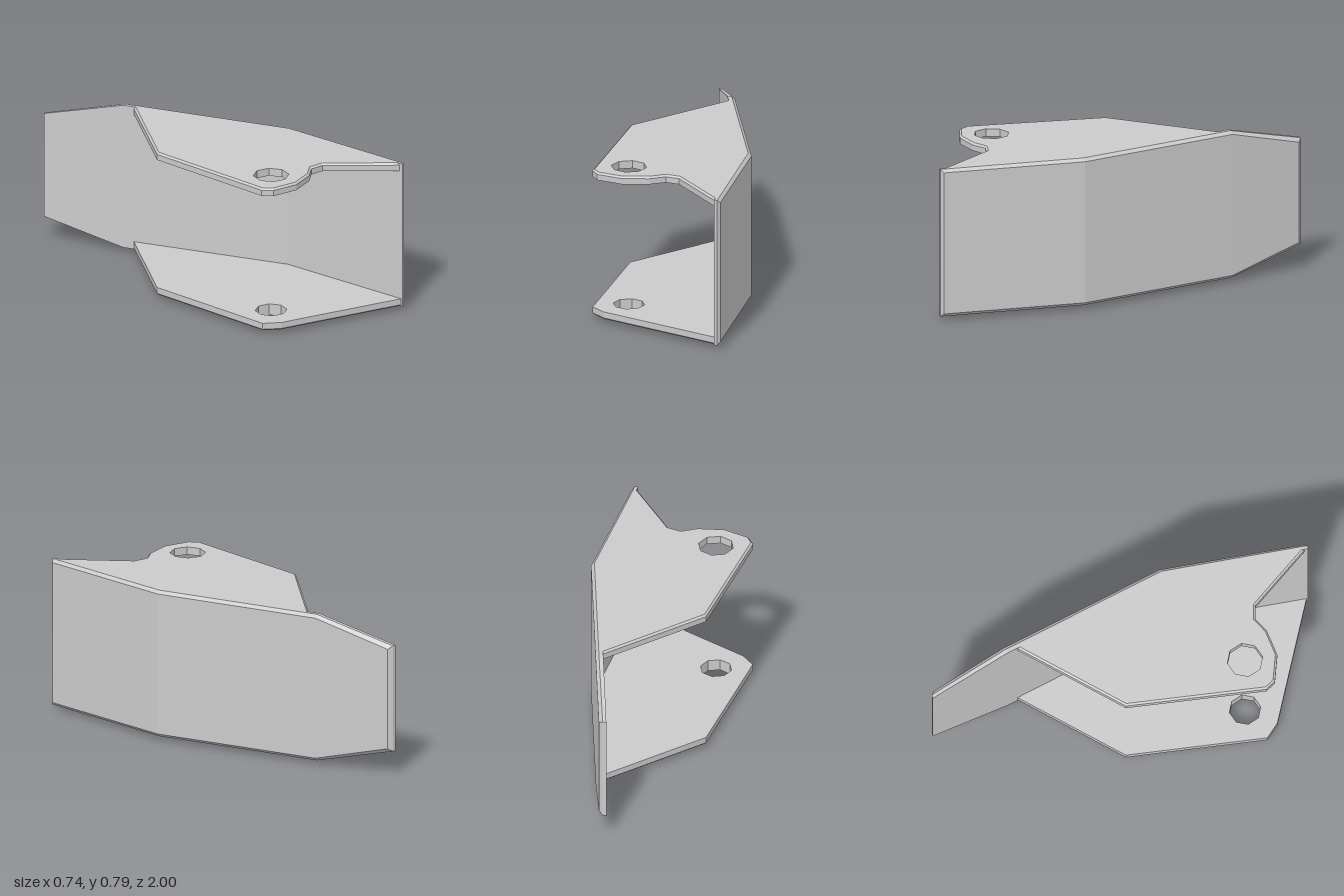
import * as THREE from 'three';

const material = () => new THREE.MeshStandardMaterial({ color: 0xcccccc, flatShading: true });
const HOLE = [-0.197, 0.57];

// Collects triangles; flip reverses the winding for upside-down parts
function builder(flip = false) {
  const pos = [];
  const tri = (a, b, c) => pos.push(...a, ...(flip ? c : b), ...(flip ? b : c));
  const quad = (a, b, c, d) => { tri(a, b, c); tri(a, c, d); };
  const mesh = (name) => {
    const g = new THREE.BufferGeometry();
    g.setAttribute('position', new THREE.Float32BufferAttribute(pos, 3));
    g.computeVertexNormals();
    const m = new THREE.Mesh(g, material());
    m.name = name;
    return m;
  };
  return { tri, quad, mesh };
}

// Moves every edge of a plan outline inwards by d
function inset(pts, d) {
  const n = pts.length;
  const normal = (a, b) => {
    const l = Math.hypot(b[0] - a[0], b[1] - a[1]);
    return [-(b[1] - a[1]) / l, (b[0] - a[0]) / l];
  };
  return pts.map((p, i) => {
    const u = normal(pts[(i + n - 1) % n], p), v = normal(p, pts[(i + 1) % n]);
    const k = d / (1 + u[0] * v[0] + u[1] * v[1]);
    return [p[0] + (u[0] + v[0]) * k, p[1] + (u[1] + v[1]) * k];
  });
}

// Flat plate with a hole and one bevelled face: yIn, yBevel, yOut
function plate(name, outline, [yIn, yBevel, yOut], bevel, holeRadius) {
  const b = builder(yOut < yIn);
  const at = (p, y) => [p[0], y, p[1]];
  const hole = Array.from({ length: 8 }, (_, i) => [
    HOLE[0] + holeRadius * Math.cos(i * Math.PI / 4),
    HOLE[1] + holeRadius * Math.sin(i * Math.PI / 4)]);
  const small = inset(outline, bevel);
  const band = (lo, hi, y0, y1) => lo.forEach((p, i) => {
    const j = (i + 1) % lo.length;
    b.quad(at(p, y0), at(hi[i], y1), at(hi[j], y1), at(lo[j], y0));
  });
  const cap = (pts, y, outer) => {
    const all = [...pts, ...hole];
    const vec = (list) => list.map((p) => new THREE.Vector2(...p));
    for (const f of THREE.ShapeUtils.triangulateShape(vec(pts), [vec(hole)])) {
      const [p, q, r] = f.map((i) => all[i]);
      const ccw = (q[0] - p[0]) * (r[1] - p[1]) - (q[1] - p[1]) * (r[0] - p[0]) > 0;
      if (ccw === outer) b.tri(at(p, y), at(r, y), at(q, y));
      else b.tri(at(p, y), at(q, y), at(r, y));
    }
  };
  band(outline, outline, yIn, yBevel);
  band(outline, small, yBevel, yOut);
  const rim = [...hole].reverse();
  band(rim, rim, yIn, yOut);
  cap(outline, yIn, false);
  cap(small, yOut, true);
  return b.mesh(name);
}

// Bent side wall: inner, bevel-start and outer plan points, with bottom and top heights
function wall() {
  const b = builder();
  const stations = [
    [[0.322, 1], [0.338, 1], [0.352, 0.985], 0.02, 0.79],
    [[0.335, 0.26], [0.351, 0.255], [0.367, 0.25], 0.02, 0.79],
    [[0.079, -0.59], [0.1, -0.595], [0.116, -0.6], 0.02, 0.79],
    [[-0.045, -1], [-0.026, -1], [-0.002, -0.985], 0.127, 0.683],
  ];
  const rings = stations.map(([i, m, o, lo, hi]) => [
    [i[0], lo, i[1]], [i[0], hi, i[1]], [m[0], hi, m[1]],
    [o[0], hi - 0.016, o[1]], [o[0], lo + 0.016, o[1]], [m[0], lo, m[1]]]);
  for (let s = 0; s < 3; s++) {
    for (let j = 0; j < 6; j++) {
      const k = (j + 1) % 6;
      b.quad(rings[s][j], rings[s][k], rings[s + 1][k], rings[s + 1][j]);
    }
  }
  const f = rings[0], r = rings[3];
  b.quad(f[0], f[5], f[2], f[1]);
  b.quad(f[5], f[4], f[3], f[2]);
  b.quad(r[0], r[1], r[2], r[5]);
  b.quad(r[5], r[2], r[3], r[4]);
  return b.mesh('sideWall');
}

export function createModel() {
  const group = new THREE.Group();
  group.name = 'bracket';
  group.add(wall());

  // Shared rear outline, its last points tucked into the wall
  const rear = [[-0.315, -0.065], [0.095, -0.535], [0.112, -0.535], [0.349, 0.255]];
  const tip = [0.336, 0.998];
  group.add(plate('topPlate',
    [tip, [0.08, 0.68], [0.01, 0.665], [-0.065, 0.71], [-0.2, 0.735],
      [-0.335, 0.695], [-0.369, 0.645], ...rear],
    [0.75, 0.78, 0.79], 0.01, 0.09));
  group.add(plate('bottomPlate',
    [tip, [-0.3, 0.715], [-0.367, 0.65], ...rear],
    [0.06, 0.028, 0.02], 0.008, 0.08));

  // Eight-sided collar under the lower hole
  const profile = [[0.08, 0.021], [0.08, 0], [0.092, 0], [0.092, 0.021], [0.08, 0.021]];
  const collar = new THREE.Mesh(
    new THREE.LatheGeometry(profile.map((p) => new THREE.Vector2(...p)), 8), material());
  collar.name = 'holeCollar';
  collar.position.set(HOLE[0], 0, HOLE[1]);
  group.add(collar);
  return group;
}
